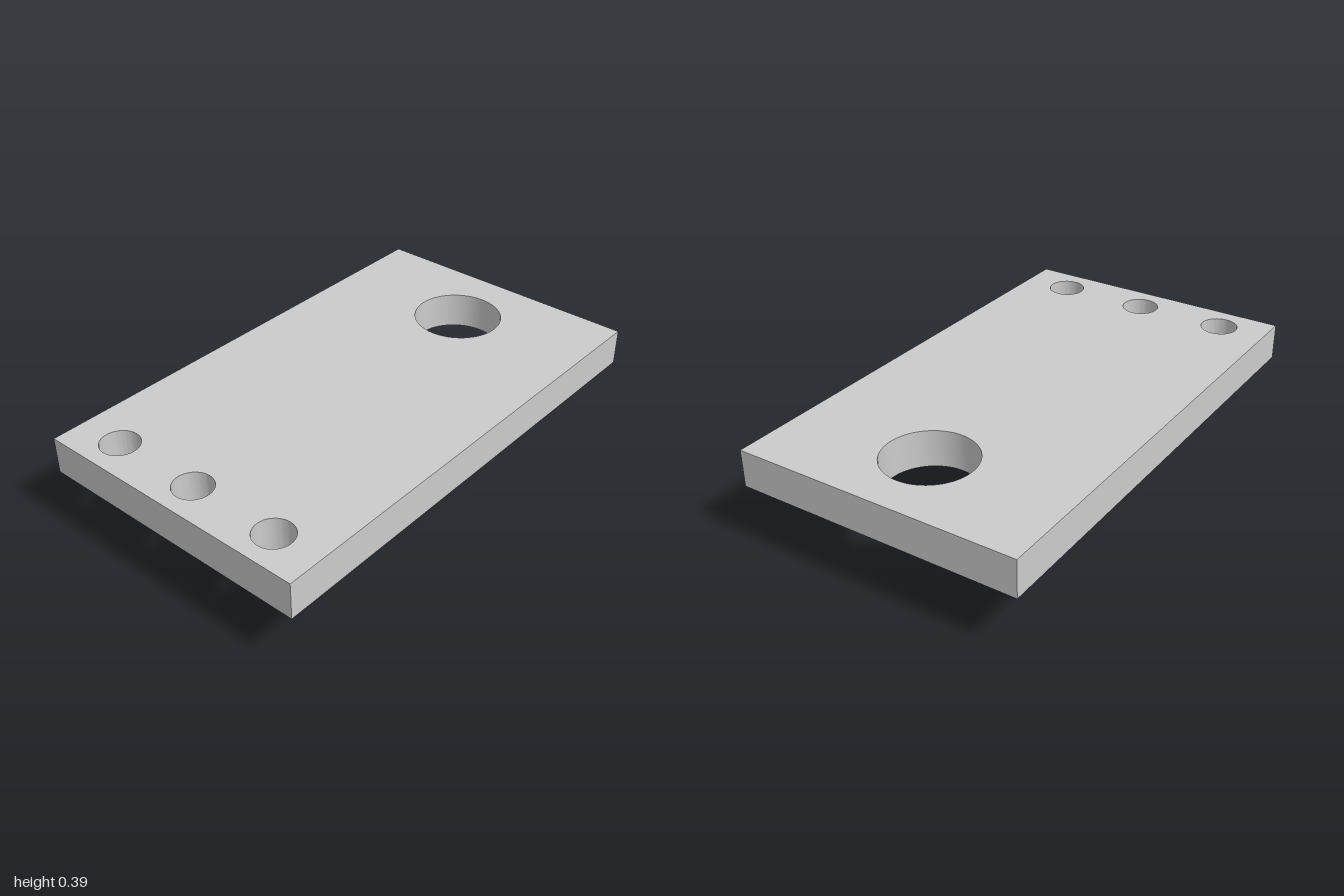
import * as THREE from 'three';
import { toCreasedNormals } from 'three/addons/utils/BufferGeometryUtils.js';

const HALF_WIDTH = 0.587;
const PLATE_BOTTOM = 0.243;
const PLATE_TOP = 0.394;

export function createModel() {
  const group = new THREE.Group();
  const material = new THREE.MeshStandardMaterial({ color: 0xcccccc });

  // Plate outline, drawn flat with shape y = -z
  const outline = new THREE.Shape();
  outline.moveTo(-HALF_WIDTH, -1);
  outline.lineTo(HALF_WIDTH, -1);
  outline.lineTo(HALF_WIDTH, 1);
  outline.lineTo(-HALF_WIDTH, 1);
  outline.closePath();

  // Through holes: one large at the back, a row of three at the front
  const addHole = (x, z, radius) => {
    const hole = new THREE.Path();
    hole.absarc(x, -z, radius, 0, Math.PI * 2, true);
    outline.holes.push(hole);
  };
  addHole(0, -0.671, 0.182);
  for (const x of [-0.384, 0, 0.384]) addHole(x, 0.861, 0.077);

  const plateGeometry = new THREE.ExtrudeGeometry(outline, {
    depth: PLATE_TOP - PLATE_BOTTOM,
    bevelEnabled: false,
    curveSegments: 32,
  });
  plateGeometry.rotateX(-Math.PI / 2);
  const plate = new THREE.Mesh(toCreasedNormals(plateGeometry, 0.6), material);
  plate.name = 'plate';
  plate.position.y = PLATE_BOTTOM;
  group.add(plate);

  // Block under the plate
  const block = new THREE.Mesh(new THREE.BoxGeometry(0.382, PLATE_BOTTOM, 0.5), material);
  block.name = 'lowerBlock';
  block.position.set(0, PLATE_BOTTOM / 2, 0.35);
  group.add(block);

  return group;
}
